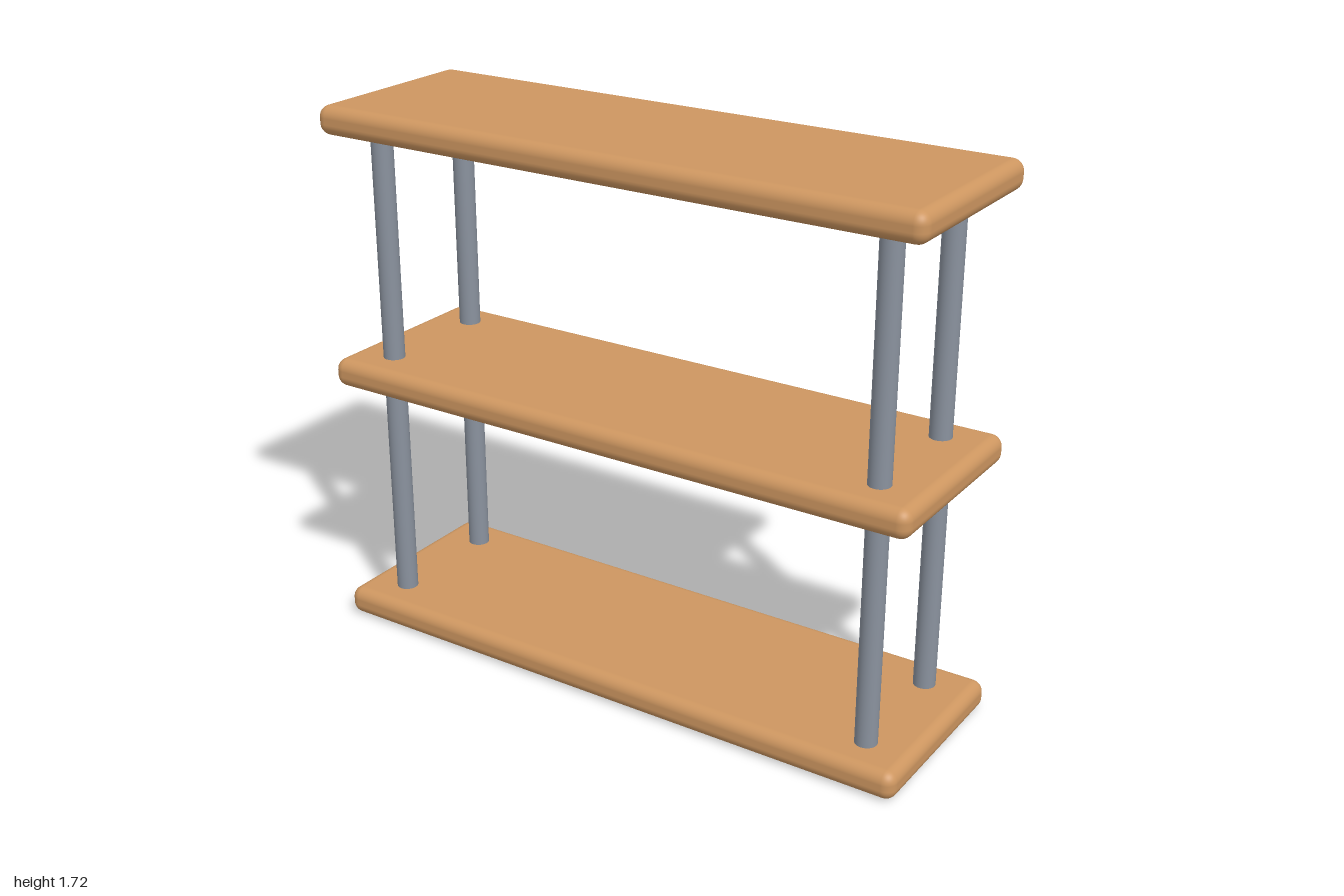
import * as THREE from 'three';
import { RoundedBoxGeometry } from 'three/addons/geometries/RoundedBoxGeometry.js';

export function createModel() {
  const wood = new THREE.MeshStandardMaterial({ name: 'wood', color: 0xcd9660 });
  const metal = new THREE.MeshStandardMaterial({ name: 'greyMetal', color: 0x8a929e });

  const group = new THREE.Group();
  group.name = 'shelfUnit';

  const thickness = 0.091;
  const shelfCentres = [0.046, 0.86, 1.67];

  // Three boards with softly rounded edges
  const boardGeometry = new RoundedBoxGeometry(2, thickness, 0.63, 5, 0.036);
  ['bottomShelf', 'middleShelf', 'topShelf'].forEach((name, i) => {
    const board = new THREE.Mesh(boardGeometry, wood);
    board.name = name;
    board.position.y = shelfCentres[i];
    group.add(board);
  });

  // Round posts between each pair of boards, sunk slightly into them
  for (let i = 0; i < 2; i++) {
    const [low, high] = [shelfCentres[i], shelfCentres[i + 1]];
    const postGeometry = new THREE.CylinderGeometry(0.034, 0.034, high - low - thickness + 0.02, 32);
    for (const x of [-0.853, 0.853]) {
      for (const z of [-0.19, 0.19]) {
        const post = new THREE.Mesh(postGeometry, metal);
        post.name = `${i ? 'upper' : 'lower'}${z > 0 ? 'Front' : 'Back'}${x > 0 ? 'Left' : 'Right'}Post`;
        post.position.set(x, (low + high) / 2, z);
        group.add(post);
      }
    }
  }
  return group;
}
